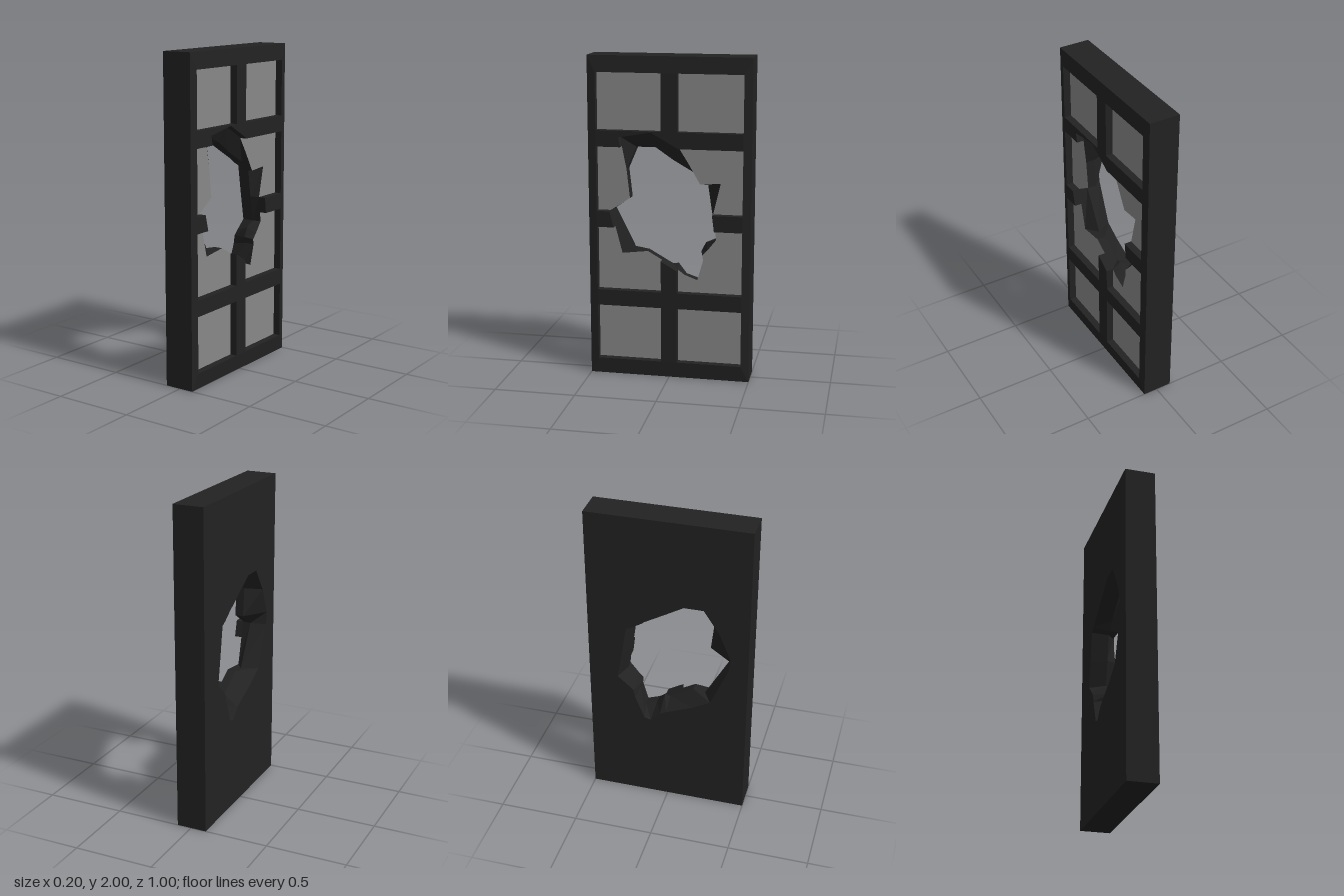
import * as THREE from 'three';

const FRONT = 0.1, EDGE = 0.09, PANE = 0.055, MID = 0.0, BACK = -0.1;
const CENTRE = [0.02, 1.05];

// Broken hole, as [z, y] rings at the front, the middle and the back of the slab
const HOLE_FRONT = [
  [0.31, 1.51], [0.11, 1.545], [-0.05, 1.455], [-0.11, 1.36], [-0.185, 1.23], [-0.31, 1.24], [-0.265, 1.05],
  [-0.285, 0.89], [-0.23, 0.82], [-0.2, 0.79], [-0.205, 0.755], [-0.17, 0.63], [-0.09, 0.66], [-0.05, 0.69],
  [-0.01, 0.715], [0.14, 0.8], [0.3, 0.78], [0.37, 1.05], [0.25, 1.13], [0.27, 1.31]];
const HOLE_MID = [
  [0.22, 1.44], [0.1, 1.44], [-0.01, 1.365], [-0.15, 1.285], [-0.185, 1.23], [-0.225, 1.22], [-0.25, 1.05],
  [-0.28, 0.89], [-0.215, 0.86], [-0.185, 0.8], [-0.2, 0.76], [-0.17, 0.63], [-0.095, 0.655], [-0.045, 0.72],
  [-0.01, 0.715], [0.14, 0.8], [0.215, 0.79], [0.36, 1.05], [0.245, 1.13], [0.265, 1.31]];
const HOLE_BACK = [
  [0.22, 1.45], [0.1, 1.45], [-0.02, 1.38], [-0.16, 1.3], [-0.22, 1.26], [-0.26, 1.24], [-0.29, 1.05],
  [-0.32, 0.88], [-0.25, 0.82], [-0.22, 0.79], [-0.21, 0.74], [-0.15, 0.59], [-0.11, 0.58], [-0.05, 0.64],
  [-0.01, 0.66], [0.16, 0.73], [0.27, 0.79], [0.38, 1.05], [0.39, 1.13], [0.32, 1.3]];

const next = (list, i) => list[(i + 1) % list.length];
const rect = (z0, y0, z1, y1) => [[z0, y0], [z1, y0], [z1, y1], [z0, y1]];

// Keep the part of a polygon that lies left of every line [p, q]
function clip(poly, lines) {
  for (const [p, q] of lines) {
    const side = (v) => (q[0] - p[0]) * (v[1] - p[1]) - (q[1] - p[1]) * (v[0] - p[0]);
    const out = [];
    poly.forEach((a, i) => {
      const b = next(poly, i), sa = side(a), sb = side(b);
      if (sa >= 0) out.push(a);
      if (sa * sb < 0) {
        const t = sa / (sa - sb);
        out.push([a[0] + (b[0] - a[0]) * t, a[1] + (b[1] - a[1]) * t]);
      }
    });
    poly = out;
  }
  return poly;
}

// Cut the hole from a convex polygon, one wedge around the hole at a time
const outside = (poly, hole) => hole.map((a, i) => {
  const b = next(hole, i);
  return clip(poly, [[CENTRE, a], [b, CENTRE], [b, a]]);
}).filter((piece) => piece.length > 1);

// Collects flat polygons given as 3D corners
class Surface {
  constructor() { this.points = []; }
  face(corners) {
    for (let i = 1; i < corners.length - 1; i++) this.points.push(...corners[0], ...corners[i], ...corners[i + 1]);
  }
  // Polygon in the z-y plane, facing +x or -x
  flat(poly, x, facing) {
    const corners = poly.map(([z, y]) => [x, y, z]);
    this.face(facing > 0 ? corners.reverse() : corners);
  }
  // Strip between two depths along a clipped straight edge running from a to b
  wall(piece, a, b, x0, x1) {
    const along = (p) => (p[0] - a[0]) * (b[0] - a[0]) + (p[1] - a[1]) * (b[1] - a[1]);
    const sorted = [...piece].sort((p, q) => along(p) - along(q));
    const [p, q] = [sorted[0], sorted[sorted.length - 1]];
    if (Math.hypot(p[0] - q[0], p[1] - q[1]) < 1e-6) return;
    this.face([[x0, p[1], p[0]], [x0, q[1], q[0]], [x1, q[1], q[0]], [x1, p[1], p[0]]]);
  }
  mesh(name, material) {
    const geometry = new THREE.BufferGeometry();
    geometry.setAttribute('position', new THREE.Float32BufferAttribute(this.points, 3));
    geometry.computeVertexNormals();
    const mesh = new THREE.Mesh(geometry, material);
    mesh.name = name;
    return mesh;
  }
}

export function createModel() {
  const dark = new THREE.MeshStandardMaterial({ color: 0x222222, flatShading: true, side: THREE.DoubleSide });
  const grey = new THREE.MeshStandardMaterial({ color: 0x888888, flatShading: true, side: THREE.DoubleSide });
  const border = new Surface(), bars = new Surface(), panes = new Surface();
  const recesses = new Surface(), back = new Surface(), broken = new Surface();

  // Outer sides and the gently sloping front border
  const outer = rect(-0.5, 0, 0.5, 2), inner = rect(-0.45, 0.1, 0.45, 1.9);
  outer.forEach((a, i) => {
    const b = next(outer, i), c = next(inner, i), d = inner[i];
    border.face([[BACK, a[1], a[0]], [EDGE, a[1], a[0]], [EDGE, b[1], b[0]], [BACK, b[1], b[0]]]);
    border.face([[EDGE, a[1], a[0]], [FRONT, d[1], d[0]], [FRONT, c[1], c[0]], [EDGE, b[1], b[0]]]);
  });

  // Dividing bars, broken off at the hole
  const barRects = [rect(-0.05, 0.1, 0.05, 1.9)];
  for (const y of [0.5, 1, 1.5]) {
    barRects.push(rect(-0.45, y - 0.05, -0.05, y + 0.05), rect(0.05, y - 0.05, 0.45, y + 0.05));
  }
  for (const bar of barRects) {
    outside(bar, HOLE_FRONT).forEach((piece) => bars.flat(piece, FRONT, 1));
    const sides = bar.map((p, i) => [p, next(bar, i)]);
    HOLE_FRONT.forEach((a, i) => {
      const b = next(HOLE_FRONT, i), piece = clip([a, b], sides);
      if (piece.length > 1) broken.wall(piece, a, b, FRONT, PANE);
    });
  }

  // Sunken panes and the walls around them
  for (const [y0, y1] of [[0.1, 0.45], [0.55, 0.95], [1.05, 1.45], [1.55, 1.9]]) {
    for (const z0 of [-0.45, 0.05]) {
      const pane = rect(z0, y0, z0 + 0.4, y1);
      outside(pane, HOLE_FRONT).forEach((piece) => panes.flat(piece, PANE, 1));
      pane.forEach((a, i) => {
        const b = next(pane, i);
        outside([a, b], HOLE_FRONT).forEach((piece) => recesses.wall(piece, a, b, FRONT, PANE));
      });
    }
  }

  // Plain back
  outside(outer, HOLE_BACK).forEach((piece) => back.flat(piece, BACK, -1));

  // Jagged fracture surface through the slab
  const rings = [[HOLE_FRONT, PANE], [HOLE_MID, MID], [HOLE_BACK, BACK]];
  for (let r = 0; r < 2; r++) {
    const [near, x0] = rings[r], [far, x1] = rings[r + 1];
    near.forEach((a, i) => {
      const b = next(near, i), c = next(far, i), d = far[i];
      broken.face([[x0, a[1], a[0]], [x0, b[1], b[0]], [x1, c[1], c[0]], [x1, d[1], d[0]]]);
    });
  }

  const model = new THREE.Group();
  model.name = 'brokenPanelDoor';
  model.add(
    border.mesh('outerFrame', dark), bars.mesh('dividingBars', dark), recesses.mesh('recessWalls', dark),
    panes.mesh('panes', grey), back.mesh('backPanel', dark), broken.mesh('brokenEdge', dark));
  return model;
}
